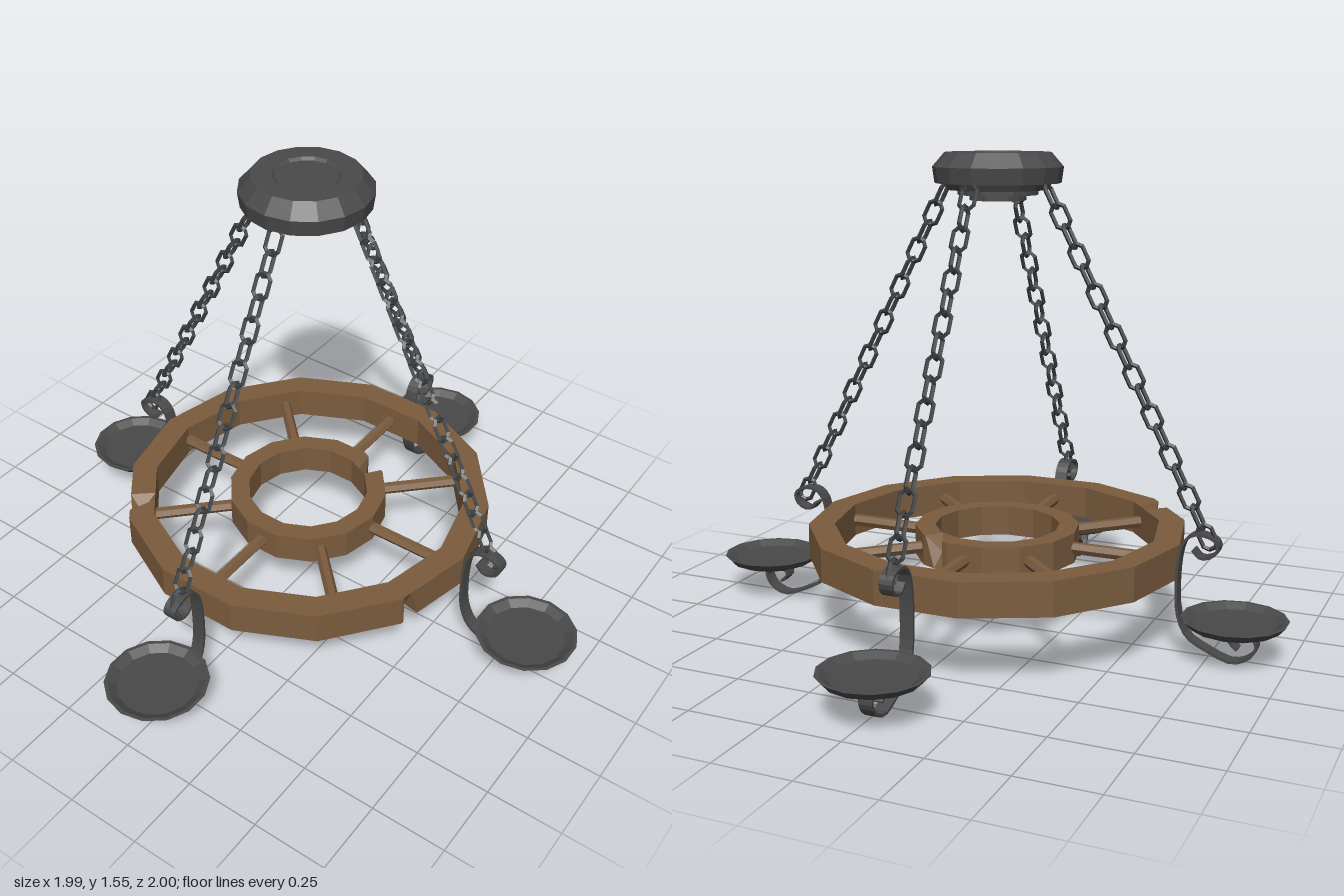
import * as THREE from 'three';

const CX = -0.028; // wheel axis
const SIDES = 14;
const material = (name, color) => {
  const m = new THREE.MeshStandardMaterial({ color, flatShading: true });
  m.name = name;
  return m;
};

function mesh(name, geometry, mat, parent) {
  const m = new THREE.Mesh(geometry, mat);
  m.name = name;
  parent.add(m);
  return m;
}

const lathe = (points, sides) =>
  new THREE.LatheGeometry(points.map(([r, y]) => new THREE.Vector2(r, y)), sides);

// Faceted wooden ring; each chip knocks one corner of the rim inwards
function ringGeometry(inner, outer, y0, y1, chips) {
  const step = (Math.PI * 2) / SIDES;
  const sections = [];
  const add = (angle, chip) => {
    const offset = THREE.MathUtils.euclideanModulo(angle, step) - step / 2;
    const k = Math.cos(step / 2) / Math.cos(offset);
    const corners = [[outer * k, y1], [inner * k, y1], [inner * k, y0], [outer * k, y0]];
    if (chip) {
      corners[chip.corner][0] -= 0.035;
      corners[chip.corner][1] += chip.corner === 0 ? -0.05 : 0.03;
    }
    sections.push({ angle, corners });
  };
  for (let i = 0; i < SIDES; i++) add(i * step);
  for (const chip of chips) {
    add(chip.angle - chip.width);
    add(chip.angle, chip);
    add(chip.angle + chip.width);
  }
  sections.sort((a, b) => a.angle - b.angle);
  const positions = [];
  const point = (s, k) => {
    const [r, y] = s.corners[k % 4];
    return [r * Math.cos(s.angle), y, r * Math.sin(s.angle)];
  };
  sections.forEach((s, i) => {
    const n = sections[(i + 1) % sections.length];
    for (let k = 0; k < 4; k++) {
      const a = point(s, k), b = point(s, k + 1), c = point(n, k + 1), d = point(n, k);
      positions.push(...a, ...b, ...c, ...a, ...c, ...d);
    }
  });
  const g = new THREE.BufferGeometry();
  g.setAttribute('position', new THREE.Float32BufferAttribute(positions, 3));
  g.computeVertexNormals();
  return g;
}

// Flat iron strap that follows a scrolled path
function strapGeometry(path, thickness, width) {
  const curve = new THREE.CatmullRomCurve3(path.map(([x, y]) => new THREE.Vector3(x, y, 0)));
  const left = [], right = [], count = 44;
  for (let i = 0; i <= count; i++) {
    const p = curve.getPoint(i / count), t = curve.getTangent(i / count);
    const nx = -t.y * thickness / 2, ny = t.x * thickness / 2;
    left.push(new THREE.Vector2(p.x + nx, p.y + ny));
    right.unshift(new THREE.Vector2(p.x - nx, p.y - ny));
  }
  const g = new THREE.ExtrudeGeometry(new THREE.Shape([...left, ...right]), { depth: width, bevelEnabled: false });
  return g.translate(0, 0, -width / 2);
}

// Chain link: octagonal torus stretched along y
function linkGeometry() {
  const g = new THREE.TorusGeometry(0.026, 0.0075, 4, 8);
  g.rotateZ(Math.PI / 8);
  const p = g.attributes.position;
  for (let i = 0; i < p.count; i++) p.setY(i, p.getY(i) + Math.sign(p.getY(i)) * 0.014);
  return g;
}

export function createModel() {
  const model = new THREE.Group();
  model.name = 'chandelier';
  const wood = material('wood', 0x7b5c3e);
  const iron = material('iron', 0x494949);
  const chainIron = material('chainIron', 0x3e4142);

  // Wooden wheel
  const wheel = new THREE.Group();
  wheel.name = 'wheel';
  wheel.position.x = CX;
  model.add(wheel);
  const deg = Math.PI / 180;
  mesh('wheelRim', ringGeometry(0.535, 0.62, 0.245, 0.355, [
    { angle: 136 * deg, width: 0.065, corner: 0 },
    { angle: 22 * deg, width: 0.05, corner: 3 },
  ]), wood, wheel);
  mesh('wheelHub', ringGeometry(0.205, 0.27, 0.25, 0.35, [
    { angle: 297 * deg, width: 0.16, corner: 0 },
  ]), wood, wheel);
  const spokeGeo = new THREE.CylinderGeometry(0.02, 0.02, 0.32, 6).rotateZ(Math.PI / 2).translate(0.39, 0.3, 0);
  for (let i = 0; i < 8; i++) mesh('spoke', spokeGeo, wood, wheel).rotation.y = i * Math.PI / 4;

  // Ceiling mount
  const mount = mesh('ceilingMount', lathe([
    [0, 1.408], [0.09, 1.408], [0.09, 1.425], [0.128, 1.425], [0.128, 1.441], [0.16, 1.441],
    [0.17, 1.462], [0.2, 1.462], [0.207, 1.512], [0.168, 1.557], [0.105, 1.557], [0.095, 1.549], [0, 1.549],
  ], 16), iron, model);
  mount.position.x = CX;

  // Four arms with chains and candle dishes
  const armGeo = strapGeometry([
    [0.67, 0.355], [0.697, 0.33], [0.739, 0.345], [0.75, 0.377], [0.729, 0.398], [0.675, 0.403],
    [0.643, 0.377], [0.627, 0.32], [0.622, 0.217], [0.629, 0.136], [0.659, 0.072], [0.723, 0.035],
    [0.804, 0.008], [0.857, 0.03], [0.878, 0.067], [0.868, 0.094], [0.825, 0.104], [0.793, 0.08], [0.82, 0.05],
  ], 0.009, 0.044);
  const dishGeo = lathe([
    [0, 0.11], [0.115, 0.11], [0.145, 0.122], [0.167, 0.146], [0.155, 0.146], [0.128, 0.13], [0, 0.127],
  ], SIDES);
  const linkGeo = linkGeometry();
  const slope = 0.509;

  for (let i = 0; i < 4; i++) {
    const angle = i * Math.PI / 2;
    const sideways = i % 2 === 0;
    const arm = new THREE.Group();
    arm.name = 'armAssembly';
    arm.position.set(sideways ? CX : -0.01, 0, sideways ? -0.018 : 0);
    arm.rotation.y = angle;
    model.add(arm);
    mesh('scrollArm', armGeo, iron, arm);

    // Links alternate a quarter turn about the chain's slope
    const chain = new THREE.Group();
    chain.name = 'chain';
    arm.add(chain);
    for (let k = 0; k < 18; k++) {
      const y = 1.424 - k * 0.0605;
      const holder = new THREE.Group();
      holder.name = 'chainLink';
      holder.position.set(0.215 + slope * (1.37 - y), y, 0);
      holder.rotation.z = Math.atan(slope);
      chain.add(holder);
      mesh('link', linkGeo, chainIron, holder).rotation.y = k % 2 ? 0 : Math.PI / 2;
    }

    const dish = mesh('candleDish', dishGeo, iron, model);
    dish.position.set(
      sideways ? Math.cos(angle) * 0.834 : -0.01, 0,
      sideways ? -0.017 : -Math.sin(angle) * 0.834);
  }
  return model;
}
